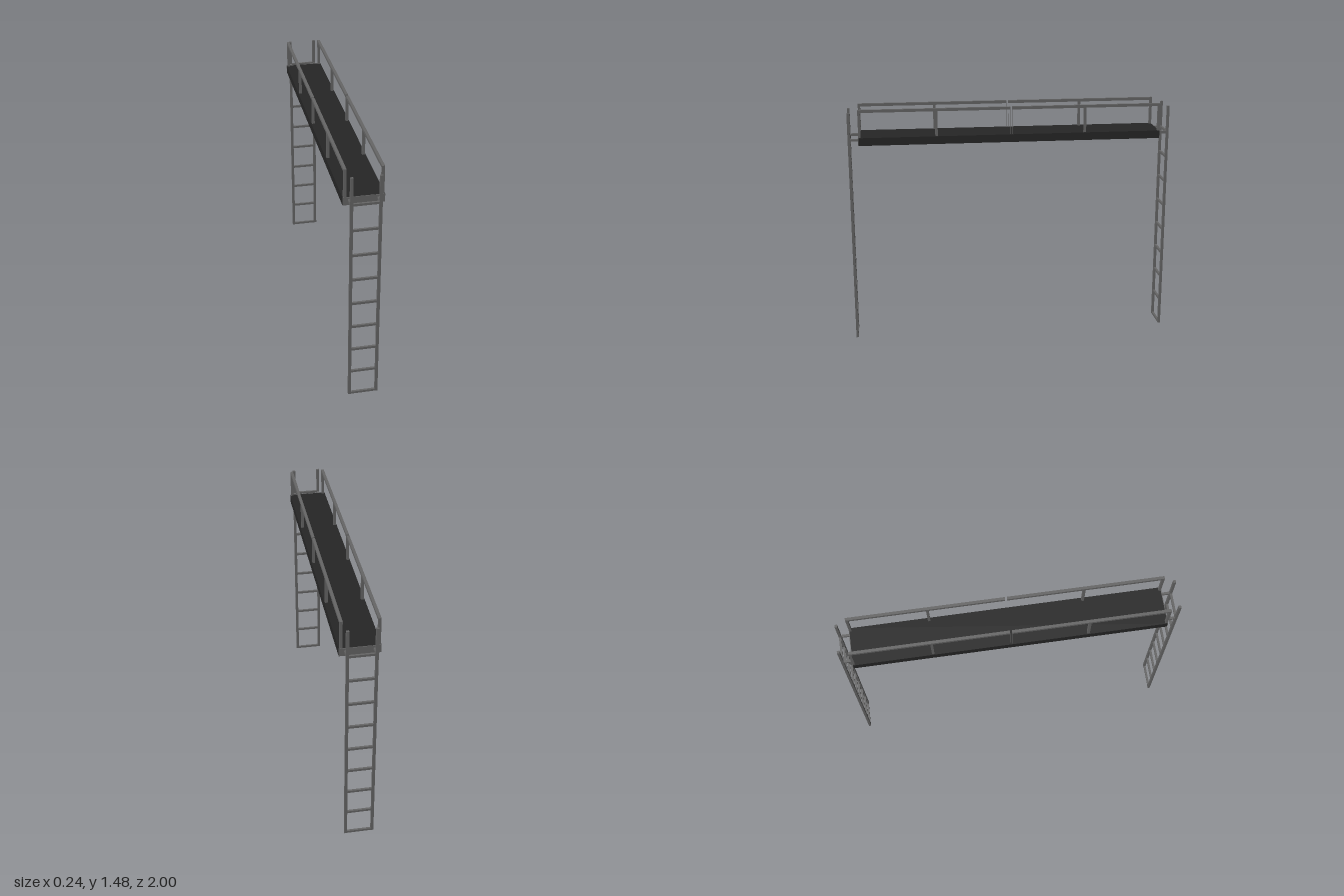
import * as THREE from 'three';

const metal = new THREE.MeshStandardMaterial({ color: 0x666666 });
const metalThin = new THREE.MeshStandardMaterial({ color: 0x666666, side: THREE.DoubleSide });
const dark = new THREE.MeshStandardMaterial({ color: 0x262626 });

// Box given by its size and centre
function box(parent, name, size, pos, material = metal) {
  const mesh = new THREE.Mesh(new THREE.BoxGeometry(...size), material);
  mesh.name = name;
  mesh.position.set(...pos);
  parent.add(mesh);
  return mesh;
}

const BAR = 0.017;          // rail and stile thickness
const DECK_TOP = 1.312;
const DECK_BOTTOM = 1.264;
const DECK_END = 0.937;
const RUNG_STEP = 0.161;

// Ladder with two stiles, evenly spaced rungs and arms reaching to the deck
function ladder(side) {
  const group = new THREE.Group();
  group.name = side > 0 ? 'frontLadder' : 'backLadder';
  const z = side * 0.9925;
  for (const x of [-0.081, 0.081]) {
    box(group, 'stile', [BAR, 1.46, 0.015], [x, 0.73, z]);
    box(group, 'deckArm', [0.014, 0.014, 0.985 - DECK_END], [x, 1.293, side * (0.985 + DECK_END) / 2]);
  }
  for (let i = 0; i < 9; i++) {
    box(group, 'rung', [0.146, 0.014, 0.013], [0, 0.007 + i * RUNG_STEP, z]);
  }
  return group;
}

// Guard rail in two halves that meet at a thin middle post
function guardRail(side) {
  const group = new THREE.Group();
  group.name = side > 0 ? 'leftGuardRail' : 'rightGuardRail';
  const x = side * 0.105;
  const top = 1.483;
  const postHeight = top - BAR - DECK_TOP;
  const postY = DECK_TOP + postHeight / 2;
  for (const end of [-1, 1]) {
    box(group, 'topRail', [BAR, BAR, 0.929], [x, top - BAR / 2, end * 0.4705]);
    for (const z of [0.927, 0.46]) {
      box(group, 'post', [BAR, postHeight, 0.015], [x, postY, end * z]);
    }
    // Middle post face
    const face = new THREE.Mesh(new THREE.PlaneGeometry(BAR, postHeight + BAR), metalThin);
    face.name = 'middlePostFace';
    face.position.set(x, postY + BAR / 2, end * 0.006);
    group.add(face);
  }
  return group;
}

export function createModel() {
  const model = new THREE.Group();
  model.name = 'ladderBridge';

  // Deck with metal end plates
  const deckHeight = DECK_TOP - DECK_BOTTOM;
  const deckY = (DECK_TOP + DECK_BOTTOM) / 2;
  box(model, 'deck', [0.236, deckHeight, 2 * DECK_END - 0.008], [0, deckY, 0], dark);

  for (const side of [-1, 1]) {
    box(model, 'deckEndPlate', [0.236, deckHeight, 0.004], [0, deckY, side * (DECK_END - 0.002)]);
    model.add(ladder(side), guardRail(side));
  }
  return model;
}
